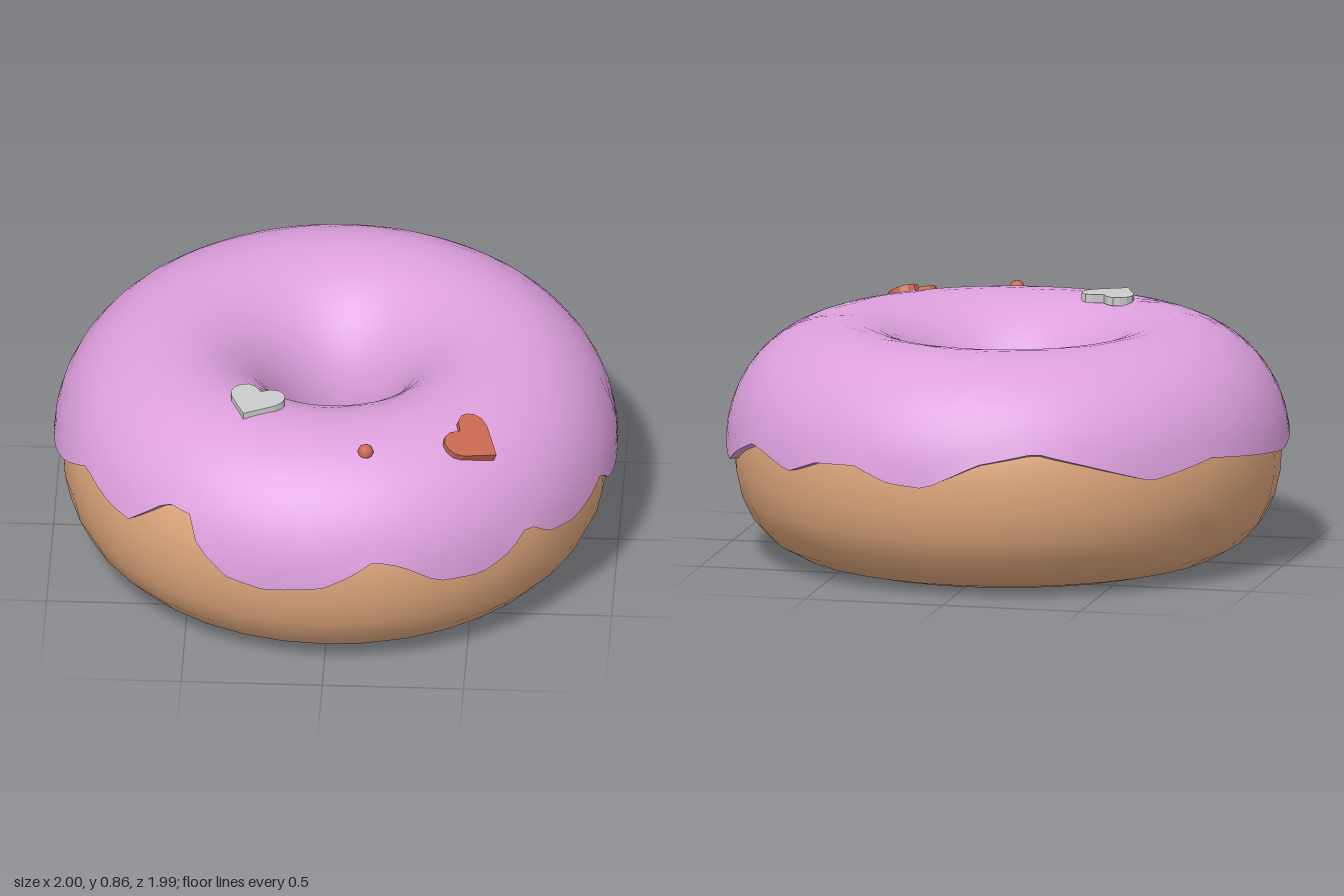
import * as THREE from 'three';

const RING = 0.59, MID_Y = 0.41;
const TAU = Math.PI * 2;

// Lower edge of the icing: [degrees from the front towards +x, height]
const DRIPS = [
  [0, 0.41], [6, 0.46], [10.5, 0.51], [16.5, 0.48], [24, 0.4], [34, 0.385], [41, 0.43], [46, 0.5],
  [52, 0.43], [60, 0.41], [67, 0.43], [73, 0.465], [78, 0.4], [84, 0.38], [92, 0.41], [96, 0.48],
  [103, 0.48], [106, 0.41], [112, 0.37], [120, 0.43], [128, 0.48], [134, 0.46], [142, 0.42],
  [150, 0.47], [160, 0.48], [168, 0.43], [176, 0.42], [187, 0.51], [199, 0.55], [210, 0.5],
  [224, 0.43], [240, 0.48], [255, 0.45], [270, 0.42], [281, 0.44], [289, 0.48], [298, 0.55],
  [309, 0.5], [315, 0.49], [324, 0.61], [330, 0.6], [333, 0.5], [340, 0.41], [348, 0.385], [360, 0.41],
];

function dripHeight(deg) {
  const i = DRIPS.findIndex((d) => d[0] > deg);
  const [a, ya] = DRIPS[i - 1], [b, yb] = DRIPS[i];
  return ya + (yb - ya) * (deg - a) / (b - a);
}

// Point on the ring's cross-section as [radius, height]; the outer underside is fuller
function section(phi, rx, ry) {
  let c = Math.cos(phi), s = Math.sin(phi);
  if (c > 0 && s < 0) {
    const k = Math.pow(Math.pow(c, 2.4) + Math.pow(-s, 2.4), -1 / 2.4);
    c *= k;
    s *= k;
  }
  return [RING + rx * c, MID_Y + ry * s];
}
const doughPoint = (phi) => section(phi, 0.38, 0.405);
const icingPoint = (phi) => section(phi, 0.408, 0.435);

// Surface of columns around the ring; column(deg) lists [radius, height] from the hole outwards
function ringSurface(columns, column) {
  const pos = [], index = [];
  let rows = 0;
  for (let i = 0; i < columns; i++) {
    const a = i / columns * TAU, pts = column(i / columns * 360);
    rows = pts.length;
    for (const [r, y] of pts) pos.push(r * Math.sin(a), y, r * Math.cos(a));
  }
  for (let i = 0; i < columns; i++) {
    for (let j = 0; j < rows - 1; j++) {
      const a = i * rows + j, b = ((i + 1) % columns) * rows + j;
      index.push(a, a + 1, b, b, a + 1, b + 1);
    }
  }
  const g = new THREE.BufferGeometry();
  g.setAttribute('position', new THREE.Float32BufferAttribute(pos, 3));
  g.setIndex(index);
  g.computeVertexNormals();
  return g;
}

function heartGeometry(depth) {
  const s = new THREE.Shape();
  s.moveTo(0, -0.1);
  s.lineTo(0.085, -0.01);
  s.bezierCurveTo(0.13, 0.05, 0.06, 0.13, 0, 0.055);
  s.bezierCurveTo(-0.06, 0.13, -0.13, 0.05, -0.085, -0.01);
  s.closePath();
  const g = new THREE.ExtrudeGeometry(s, { depth, bevelEnabled: false, curveSegments: 6 });
  return g.translate(0, 0, -depth / 2);
}

// Lay a heart at a place, facing along normal, its tip towards tip
function placeHeart(mesh, center, normal, tip) {
  const z = new THREE.Vector3(...normal).normalize();
  const y = new THREE.Vector3(...tip).negate();
  y.addScaledVector(z, -y.dot(z)).normalize();
  const x = new THREE.Vector3().crossVectors(y, z);
  mesh.quaternion.setFromRotationMatrix(new THREE.Matrix4().makeBasis(x, y, z));
  mesh.position.set(...center);
}

export function createModel() {
  const model = new THREE.Group();
  const add = (name, geometry, color) => {
    const mesh = new THREE.Mesh(geometry, new THREE.MeshStandardMaterial({ color }));
    mesh.name = name;
    model.add(mesh);
    return mesh;
  };

  // Dough ring
  const profile = [];
  for (let i = 0; i <= 28; i++) {
    profile.push(new THREE.Vector2(...doughPoint(-Math.PI + i / 28 * TAU)));
  }
  add('dough', new THREE.LatheGeometry(profile, 36), 0xdea67c);

  // Icing shell with a dripping outer edge
  const inner = Math.PI + 0.05, ROWS = 20;
  const edge = (deg) => Math.asin((dripHeight(deg) - MID_Y) / 0.435);
  const pink = 0xdda0dd;
  add('icing', ringSurface(144, (deg) => {
    const end = edge(deg), pts = [];
    for (let j = 0; j <= ROWS; j++) pts.push(icingPoint(inner + (end - inner) * j / ROWS));
    return pts;
  }), pink);

  // Thickness of the icing at its two edges
  const sunk = (phi) => section(phi, 0.37, 0.395);
  add('icingOuterLip', ringSurface(144, (deg) => [icingPoint(edge(deg)), sunk(edge(deg))]), pink);
  add('icingInnerLip', ringSurface(144, () => [sunk(inner), icingPoint(inner)]), pink);

  // Sprinkles
  const grey = add('greyHeart', heartGeometry(0.03), 0xcccccc);
  placeHeart(grey, [-0.265, 0.85, 0.48], [0, 1, 0], [-0.35, 0, 0.94]);
  const red = add('redHeart', heartGeometry(0.035), 0xc86850);
  placeHeart(red, [0.51, 0.79, 0.605], [0.29, 0.89, 0.35], [0.89, 0, 0.45]);
  const ball = add('ballSprinkle', new THREE.SphereGeometry(0.028, 10, 8), 0xc86850);
  ball.position.set(0.14, 0.815, 0.725);

  return model;
}
